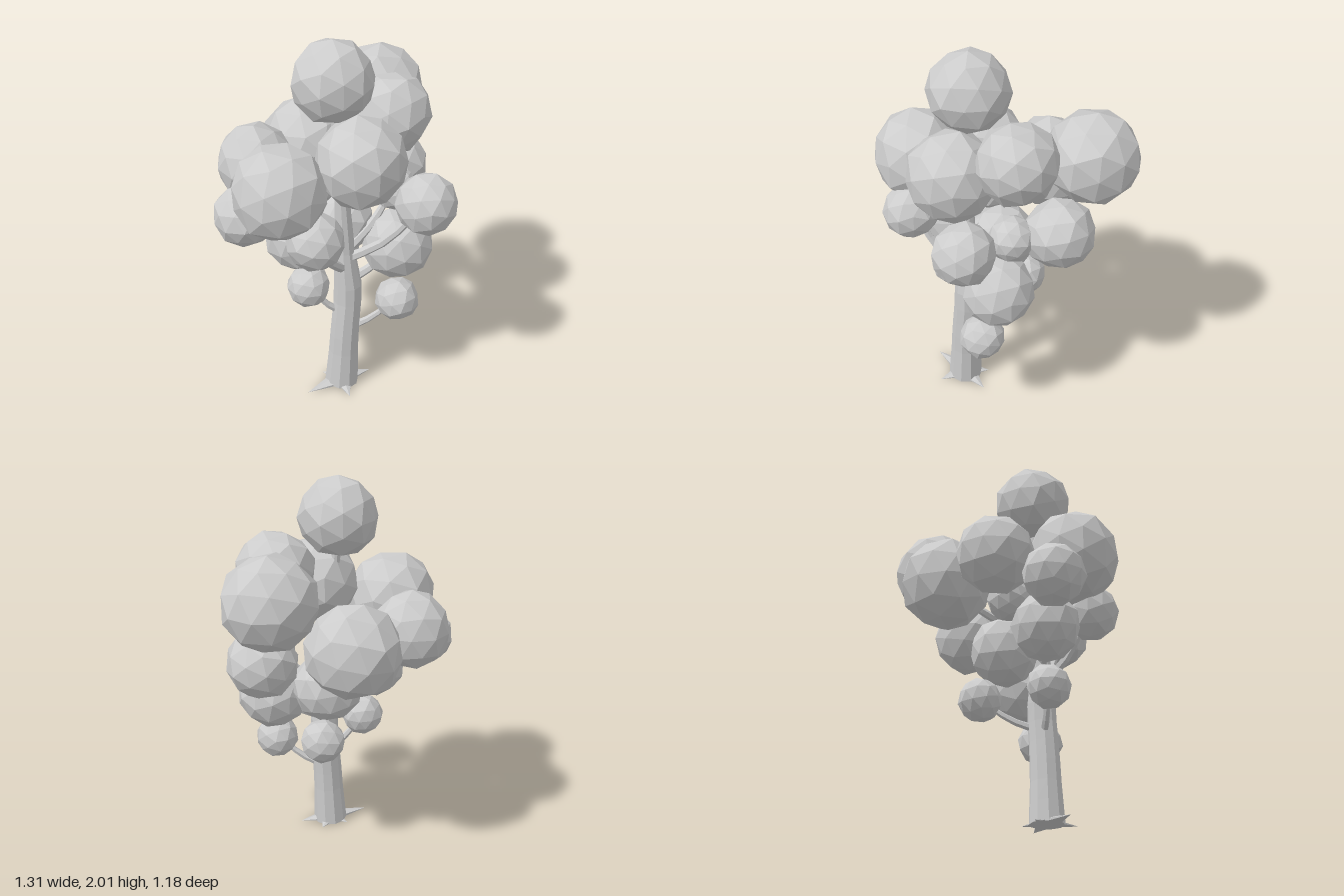
import * as THREE from 'three';

const material = new THREE.MeshStandardMaterial({ color: 0xcccccc, flatShading: true });

// Small seeded generator
let seed = 7;
const random = () => (seed = (seed * 16807) % 2147483647) / 2147483647;

function part(name, geometry) {
  const mesh = new THREE.Mesh(geometry, material);
  mesh.name = name;
  return mesh;
}

// Round limb along a smooth path; radii are spread evenly along its length
function limb(points, radii, steps, sides) {
  const curve = new THREE.CatmullRomCurve3(points.map(p => new THREE.Vector3(...p)));
  const geometry = new THREE.TubeGeometry(curve, steps, 1, sides, false);
  const pos = geometry.attributes.position;
  const v = new THREE.Vector3();
  for (let i = 0; i <= steps; i++) {
    const centre = curve.getPointAt(i / steps);
    const t = (i / steps) * (radii.length - 1);
    const k = Math.min(Math.floor(t), radii.length - 2);
    const radius = THREE.MathUtils.lerp(radii[k], radii[k + 1], t - k);
    for (let j = 0; j <= sides; j++) {
      const n = i * (sides + 1) + j;
      v.fromBufferAttribute(pos, n).sub(centre).multiplyScalar(radius).add(centre);
      pos.setXYZ(n, v.x, v.y, v.z);
    }
  }
  return geometry;
}

// Faceted ball of leaves with slightly uneven corners
function leafBall(r) {
  const geometry = new THREE.IcosahedronGeometry(1, 1);
  geometry.rotateX(random() * 6).rotateY(random() * 6);
  const pos = geometry.attributes.position;
  const bumps = new Map();
  const v = new THREE.Vector3();
  for (let i = 0; i < pos.count; i++) {
    v.fromBufferAttribute(pos, i);
    const key = v.toArray().map(c => Math.round(c * 100) + 0).join();
    if (!bumps.has(key)) bumps.set(key, 0.96 + random() * 0.07);
    v.multiplyScalar(r * bumps.get(key));
    pos.setXYZ(i, v.x, v.y, v.z);
  }
  geometry.computeVertexNormals();
  return geometry;
}

export function createModel() {
  seed = 7;
  const tree = new THREE.Group();
  tree.name = 'tree';

  // Trunk, thick at the foot and bending gently up to the crown
  tree.add(part('trunk', limb(
    [[-0.03, 0, 0.185], [-0.012, 0.35, 0.185], [0.007, 0.6, 0.18], [-0.006, 0.78, 0.175],
      [-0.025, 1.2, 0.16], [-0.05, 1.7, 0.12]],
    [0.092, 0.081, 0.077, 0.075, 0.053, 0.043, 0.034, 0.027, 0.02], 16, 10)));

  const base = part('trunkBase', new THREE.CircleGeometry(0.09, 10).rotateX(Math.PI / 2));
  base.position.set(-0.03, 0.001, 0.185);
  tree.add(base);

  // Roots: flat half cones pointing outward from the foot
  const roots = new THREE.Group();
  roots.name = 'roots';
  for (const [x, z] of [[-0.25, 0.21], [0.145, 0.19], [-0.06, 0.34], [0.05, 0.08], [-0.1, 0.09]]) {
    const dx = x + 0.03, dz = z - 0.185, length = Math.hypot(dx, dz);
    const g = new THREE.ConeGeometry(0.065, length, 6).rotateX(Math.PI / 2);
    g.scale(1, 0.6, 1).translate(0, 0, length / 2);
    const pos = g.attributes.position;
    for (let i = 0; i < pos.count; i++) pos.setY(i, Math.max(0, pos.getY(i)));
    const root = part('root', g);
    root.position.set(-0.03, 0.001, 0.185);
    root.rotation.y = Math.atan2(dx, dz);
    roots.add(root);
  }
  tree.add(roots);

  // Leaf balls: x, y, z, radius, height at which a branch leaves the trunk (0 for none)
  const balls = [
    [-0.053, 1.795, 0.115, 0.209, 0], [0.02, 1.415, 0.28, 0.235, 0],
    [-0.385, 1.31, 0.2, 0.242, 0], [0.29, 1.545, 0.093, 0.208, 0],
    [0.42, 1.51, -0.27, 0.243, 0], [0.023, 1.245, -0.35, 0.245, 1.0],
    [-0.333, 1.27, -0.213, 0.203, 0], [-0.5, 1.125, 0.03, 0.163, 0.85],
    [0.418, 1.13, -0.083, 0.185, 0], [0.31, 1.185, 0.432, 0.16, 0.8],
    [-0.262, 1.08, 0.34, 0.15, 0.74], [0.285, 0.83, 0.205, 0.193, 0.65],
    [-0.24, 0.965, 0.1, 0.178, 0], [0.048, 0.92, -0.01, 0.187, 0],
    [0.3, 1.125, 0.13, 0.12, 0.85], [-0.09, 1.16, -0.04, 0.12, 0],
    [0.112, 0.66, -0.12, 0.117, 0.49],
    [0.25, 0.525, 0.28, 0.12, 0.34], [-0.2, 0.66, 0.13, 0.115, 0.45],
  ];
  const crown = new THREE.Group();
  crown.name = 'crown';
  const branches = new THREE.Group();
  branches.name = 'branches';
  for (const [x, y, z, r, start] of balls) {
    const ball = part('leafBall', leafBall(r));
    ball.position.set(x, y, z);
    crown.add(ball);
    if (!start) continue;
    // Branch leaves the trunk, bows outward and ends inside its ball
    const sx = -0.01, sz = 0.18, rise = y - start;
    const thick = y < 0.7 ? 0.022 : 0.028;
    branches.add(part('branch', limb(
      [[sx, start, sz], [sx + (x - sx) * 0.5, start + rise * 0.35, sz + (z - sz) * 0.5], [x, y, z]],
      [thick, thick * 0.8, thick * 0.5], 5, 6)));
  }
  tree.add(crown, branches);
  return tree;
}
